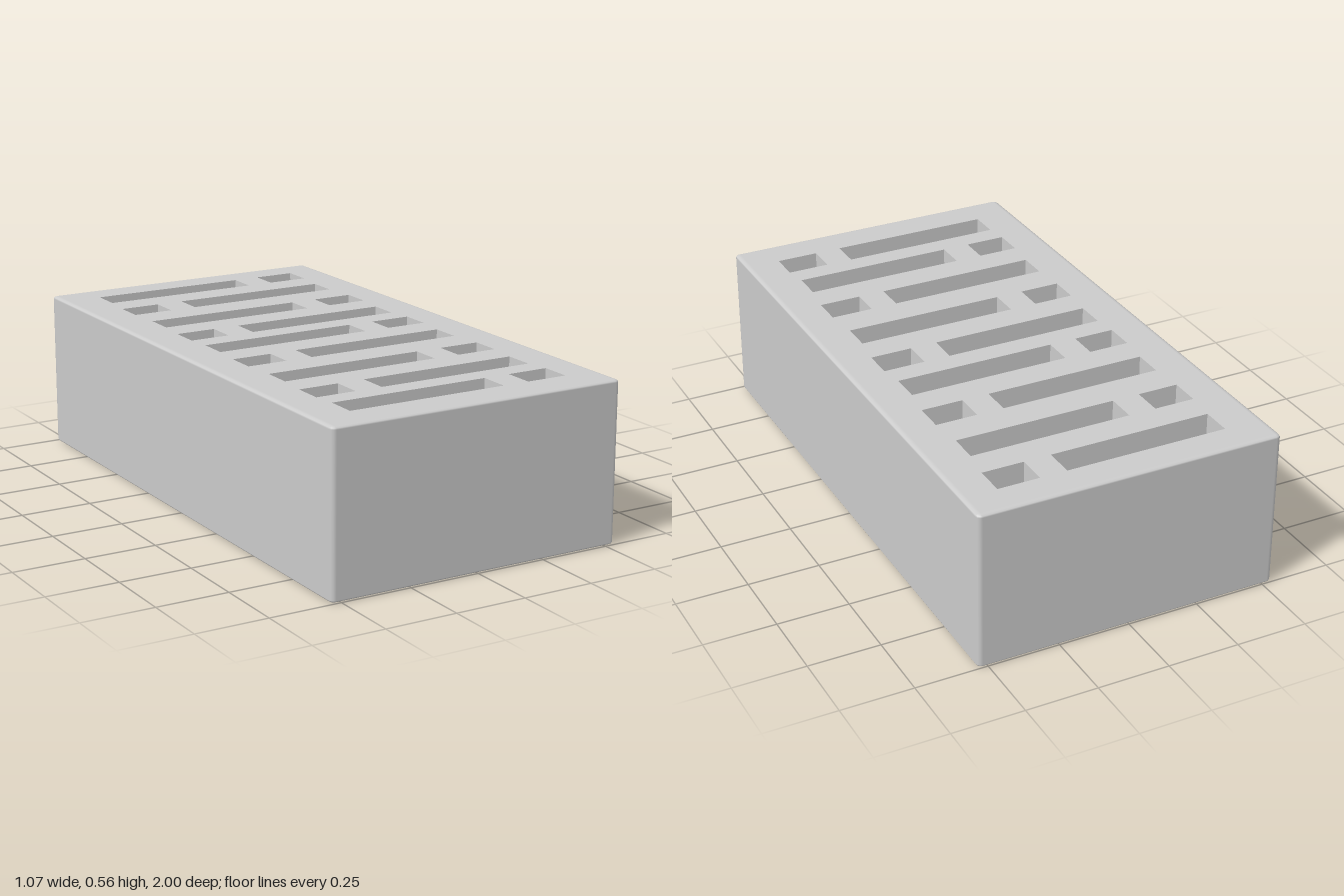
import * as THREE from 'three';

const W = 0.535, D = 1, H = 0.555; // half width, half depth, height
const R = 0.018, RY = 0.009;       // edge rounding, sideways and upward
const SEG = 3;

// Slot rows alternate: long + short, then short + long
const ROWS = [-0.833, -0.623, -0.402, -0.192, -0.005, 0.206, 0.427, 0.638, 0.82];
const PATTERNS = [
  [[-0.395, 0.172], [0.266, 0.412]],
  [[-0.405, -0.263], [-0.167, 0.398]],
];
const SLOT = 0.053; // half slot width

function slotCorners() {
  return ROWS.flatMap((z, i) => PATTERNS[i % 2].map(([x0, x1]) => [
    [x0, z - SLOT], [x1, z - SLOT], [x1, z + SLOT], [x0, z + SLOT],
  ]));
}

// Rounded outer sides: quarter-round corners swept with quarter-round edges
function shellGeometry() {
  const pos = [], nor = [], idx = [];
  const cols = 4 * (SEG + 1);
  for (let row = 0; row < 2 * (SEG + 1); row++) {
    const upper = row > SEG;
    const phi = ((upper ? row - SEG - 1 : row - SEG) / SEG) * Math.PI / 2;
    const cy = upper ? H - RY : RY;
    for (let k = 0; k < 4; k++) {
      const sx = k === 0 || k === 3 ? 1 : -1, sz = k < 2 ? 1 : -1;
      for (let j = 0; j <= SEG; j++) {
        const t = (k + j / SEG) * Math.PI / 2;
        const cx = Math.cos(phi) * Math.cos(t), cz = Math.cos(phi) * Math.sin(t);
        pos.push(sx * (W - R) + R * cx, cy + RY * Math.sin(phi), sz * (D - R) + R * cz);
        const n = new THREE.Vector3(cx / R, Math.sin(phi) / RY, cz / R).normalize();
        nor.push(n.x, n.y, n.z);
      }
    }
  }
  for (let r = 0; r < 2 * SEG + 1; r++) {
    for (let c = 0; c < cols; c++) {
      const a = r * cols + c, b = r * cols + (c + 1) % cols;
      idx.push(a, b + cols, b, a, a + cols, b + cols);
    }
  }
  const g = new THREE.BufferGeometry();
  g.setAttribute('position', new THREE.Float32BufferAttribute(pos, 3));
  g.setAttribute('normal', new THREE.Float32BufferAttribute(nor, 3));
  g.setIndex(idx);
  return g;
}

// Flat perforated face, mirrored in z by the caller's rotation
function faceGeometry(flip) {
  const toPoints = (pts) => pts.map(([x, z]) => new THREE.Vector2(x, flip * z));
  const x = W - R, z = D - R;
  const shape = new THREE.Shape(toPoints([[-x, -z], [x, -z], [x, z], [-x, z]]));
  shape.holes = slotCorners().map((c) => new THREE.Path(toPoints(c)));
  return new THREE.ShapeGeometry(shape).rotateX(flip * Math.PI / 2);
}

// Inner walls of all slots, facing into the openings
function slotWallGeometry() {
  const pos = [];
  for (const c of slotCorners()) {
    c.forEach(([ax, az], i) => {
      const [bx, bz] = c[(i + 1) % 4];
      pos.push(ax, 0, az, bx, 0, bz, bx, H, bz, ax, 0, az, bx, H, bz, ax, H, az);
    });
  }
  const g = new THREE.BufferGeometry();
  g.setAttribute('position', new THREE.Float32BufferAttribute(pos, 3));
  g.computeVertexNormals();
  return g;
}

export function createModel() {
  const group = new THREE.Group();
  group.name = 'perforatedBrick';
  const material = new THREE.MeshStandardMaterial({ color: 0xcccccc });
  const add = (name, geometry, y = 0) => {
    const mesh = new THREE.Mesh(geometry, material);
    mesh.name = name;
    mesh.position.y = y;
    group.add(mesh);
  };
  add('outerSides', shellGeometry());
  add('topFace', faceGeometry(-1), H);
  add('bottomFace', faceGeometry(1));
  add('slotWalls', slotWallGeometry());
  return group;
}
